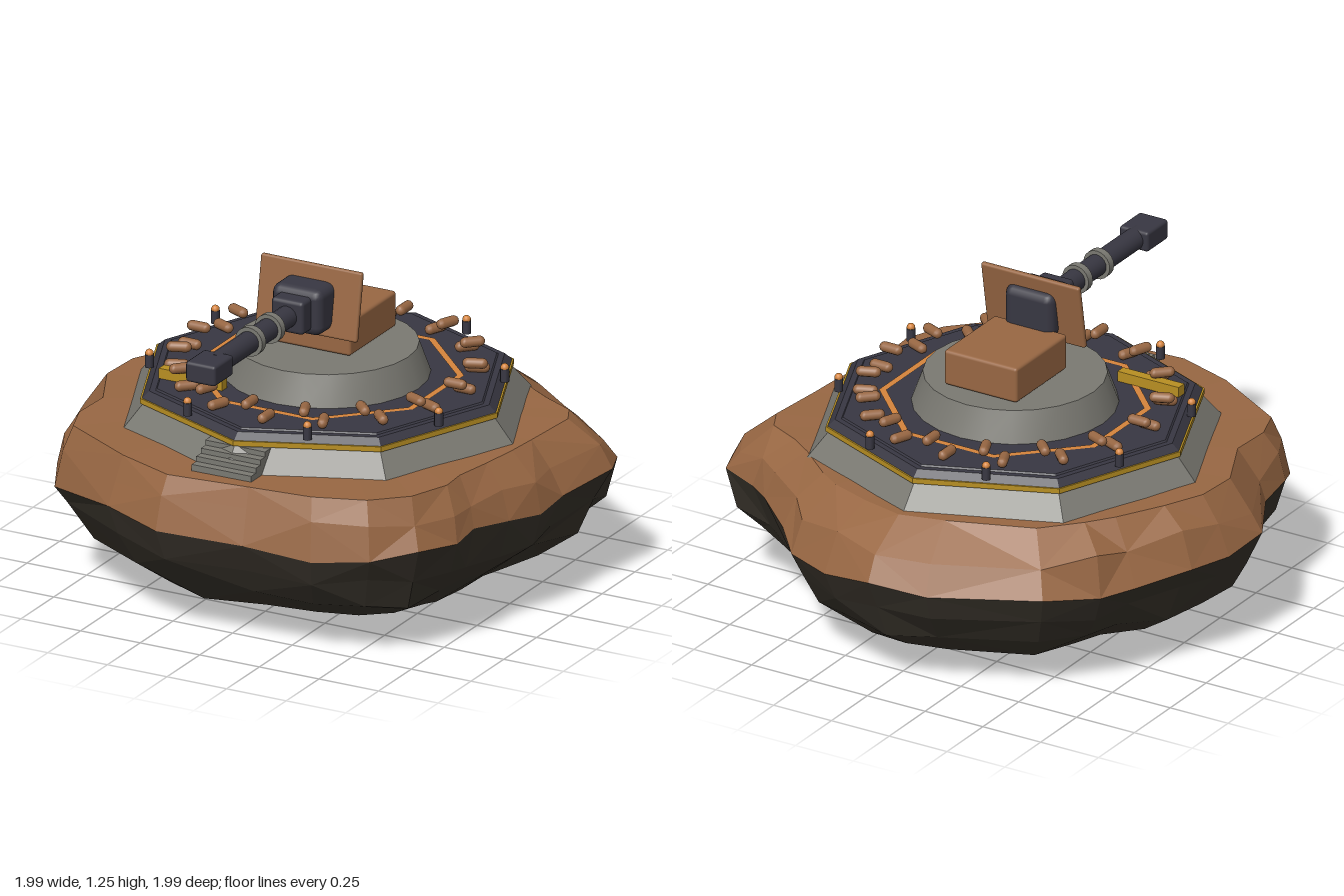
import * as THREE from 'three';
import { toCreasedNormals } from 'three/addons/utils/BufferGeometryUtils.js';
import { RoundedBoxGeometry } from 'three/addons/geometries/RoundedBoxGeometry.js';

const CZ = 0.03; // the fort sits slightly forward on the rock

function mat(name, color) {
  const m = new THREE.MeshStandardMaterial({ color });
  m.name = name;
  return m;
}

function flat(geometry) {
  const g = geometry.index ? geometry.toNonIndexed() : geometry;
  g.computeVertexNormals();
  return g;
}

function rng(seed) {
  return () => (seed = (seed * 16807) % 2147483647) / 2147483647;
}

// Faceted boulder: one plan outline scaled through a stack of rings
function rockGeometry() {
  const outline = [
    [0, -1], [0.22, -0.95], [0.42, -0.86], [0.52, -0.76], [0.7, -0.6], [0.8, -0.52], [0.96, -0.45],
    [1, -0.34], [0.95, -0.05], [0.94, 0.1], [0.9, 0.27], [0.85, 0.45], [0.84, 0.56], [0.77, 0.73],
    [0.63, 0.85], [0.42, 0.92], [0.15, 0.95], [-0.2, 0.98], [-0.45, 0.89], [-0.78, 0.7], [-0.84, 0.57],
    [-0.86, 0.4], [-1, 0.15], [-0.98, -0.05], [-0.93, -0.23], [-0.82, -0.45], [-0.75, -0.58],
    [-0.61, -0.76], [-0.22, -0.95],
  ];
  // scale, height, height jitter
  const rings = [
    [0, 0, 0], [0.34, 0, 0], [0.52, 0.035, 0.01], [0.74, 0.11, 0.03], [0.88, 0.21, 0.05],
    [0.96, 0.32, 0.06], [0.995, 0.44, 0.06], [0.97, 0.545, 0.06], [0.88, 0.648, 0.005], [0, 0.65, 0],
  ];
  const rand = rng(77);
  const pts = rings.map(([s, y, j], r) => outline.map(([x, z]) => {
    let k = s * (r > 1 && r !== 6 ? 1 - 0.035 * rand() : 1);
    if (r === 8) k += 0.08 * z;
    if (r === 7) k += 0.015 * z;
    return [x * k, y + j * (rand() - 0.5), z * k];
  }));
  const n = outline.length, pos = [], split = 6;
  let lowerCount = 0;
  for (let r = 0; r < rings.length - 1; r++) {
    for (let i = 0; i < n; i++) {
      const j = (i + 1) % n;
      const a = pts[r][j], b = pts[r][i], c = pts[r + 1][i], d = pts[r + 1][j];
      const faces = (i + r) % 2 ? [a, b, c, a, c, d] : [a, b, d, b, c, d];
      faces.forEach((p) => pos.push(...p));
    }
    if (r === split - 1) lowerCount = pos.length / 3;
  }
  const g = new THREE.BufferGeometry();
  g.setAttribute('position', new THREE.Float32BufferAttribute(pos, 3));
  g.computeVertexNormals();
  g.addGroup(0, lowerCount, 0);
  g.addGroup(lowerCount, pos.length / 3 - lowerCount, 1);
  return g;
}

export function createModel() {
  const root = new THREE.Group();
  root.name = 'rockGunEmplacement';
  const darkRock = mat('darkRock', 0x37322a);
  const brown = mat('rustBrown', 0x986743);
  const grey = mat('concreteGrey', 0x7a7972);
  const dark = mat('darkMetal', 0x383742);
  const orange = mat('orangeTrim', 0xd5843c);
  const gold = mat('goldTrim', 0xb88f22);

  const add = (name, geometry, material, x = 0, y = 0, z = 0, parent = root) => {
    const m = new THREE.Mesh(geometry, material);
    m.name = name;
    m.position.set(x, y, z);
    parent.add(m);
    return m;
  };
  const rbox = (w, h, d, r) => new RoundedBoxGeometry(w, h, d, 2, r);
  const octagon = (top, bottom, h) => flat(new THREE.CylinderGeometry(top, bottom, h, 8));
  const tube = (r, len, seg = 20) => toCreasedNormals(new THREE.CylinderGeometry(r, r, len, seg), 0.7);

  add('rock', rockGeometry(), [darkRock, brown]);

  // Octagonal platform
  add('foundation', octagon(0.7, 0.785, 0.1), grey, 0, 0.69, CZ);
  add('goldBand', octagon(0.715, 0.715, 0.02), gold, 0, 0.747, CZ);
  add('deckEdge', octagon(0.68, 0.708, 0.025), dark, 0, 0.7695, CZ);
  add('deck', octagon(0.65, 0.66, 0.01), dark, 0, 0.783, CZ);
  const ring = add('deckRing', new THREE.RingGeometry(0.48, 0.507, 8, 1, Math.PI / 8), orange, 0, 0.791, CZ);
  ring.rotation.x = -Math.PI / 2;

  // Turret base
  add('turretBase', toCreasedNormals(new THREE.CylinderGeometry(0.34, 0.385, 0.125, 24), 0.5),
    grey, 0, 0.843, CZ);

  // Front steps
  for (let i = 0; i < 4; i++) {
    const top = 0.672 + i * 0.02, front = 0.835 - i * 0.035;
    add('step' + (i + 1), new THREE.BoxGeometry(0.25, top - 0.64, front - 0.66), grey,
      0, (top + 0.64) / 2, (front + 0.66) / 2);
  }

  // Radial pairs of sandbags, the second one raised
  const bagGeometry = new THREE.CapsuleGeometry(0.02, 0.055, 4, 10);
  bagGeometry.rotateX(Math.PI / 2);
  for (let i = 0; i < 16; i++) {
    const pair = new THREE.Group();
    pair.name = 'sandbagPair' + (i + 1);
    pair.position.z = CZ;
    pair.rotation.y = (i * Math.PI) / 8;
    root.add(pair);
    add('lowerSandbag', bagGeometry, brown, 0.047, 0.808, 0.55, pair);
    add('upperSandbag', bagGeometry, brown, -0.022, 0.85, 0.55, pair);
  }

  // Lamp posts around the deck edge
  const postGeometry = tube(0.017, 0.05, 10);
  const lampGeometry = new THREE.SphereGeometry(0.016, 10, 8);
  for (let i = 0; i < 8; i++) {
    const a = ((i + 0.5) * Math.PI) / 4;
    const x = Math.sin(a) * 0.657, z = CZ + Math.cos(a) * 0.657;
    add('lampPost', postGeometry, dark, x, 0.8, z);
    add('lamp', lampGeometry, orange, x, 0.829, z);
  }

  add('goldCrate', new THREE.BoxGeometry(0.265, 0.04, 0.04), gold, -0.37, 0.81, 0.38);

  // Gun housing and shield
  add('gunHousing', rbox(0.315, 0.14, 0.355, 0.012), brown, 0, 0.98, -0.037);
  const shield = add('gunShield', rbox(0.425, 0.265, 0.022, 0.009), brown, 0, 1.122, 0.162);
  shield.rotation.x = -0.17;

  // Gun
  add('mantlet', rbox(0.21, 0.18, 0.165, 0.035), dark, 0, 1.107, 0.193);
  add('barrelCollar', rbox(0.135, 0.13, 0.08, 0.015), dark, 0, 1.107, 0.298);
  const round = (name, r, len, z, material) => {
    add(name, tube(r, len), material, 0, 1.107, z).rotation.x = Math.PI / 2;
  };
  round('barrel', 0.042, 0.58, 0.6, dark);
  round('barrelRing1', 0.057, 0.03, 0.465, grey);
  round('barrelRing2', 0.057, 0.03, 0.612, grey);
  add('muzzle', rbox(0.125, 0.08, 0.145, 0.012), dark, 0, 1.107, 0.926);
  return root;
}
